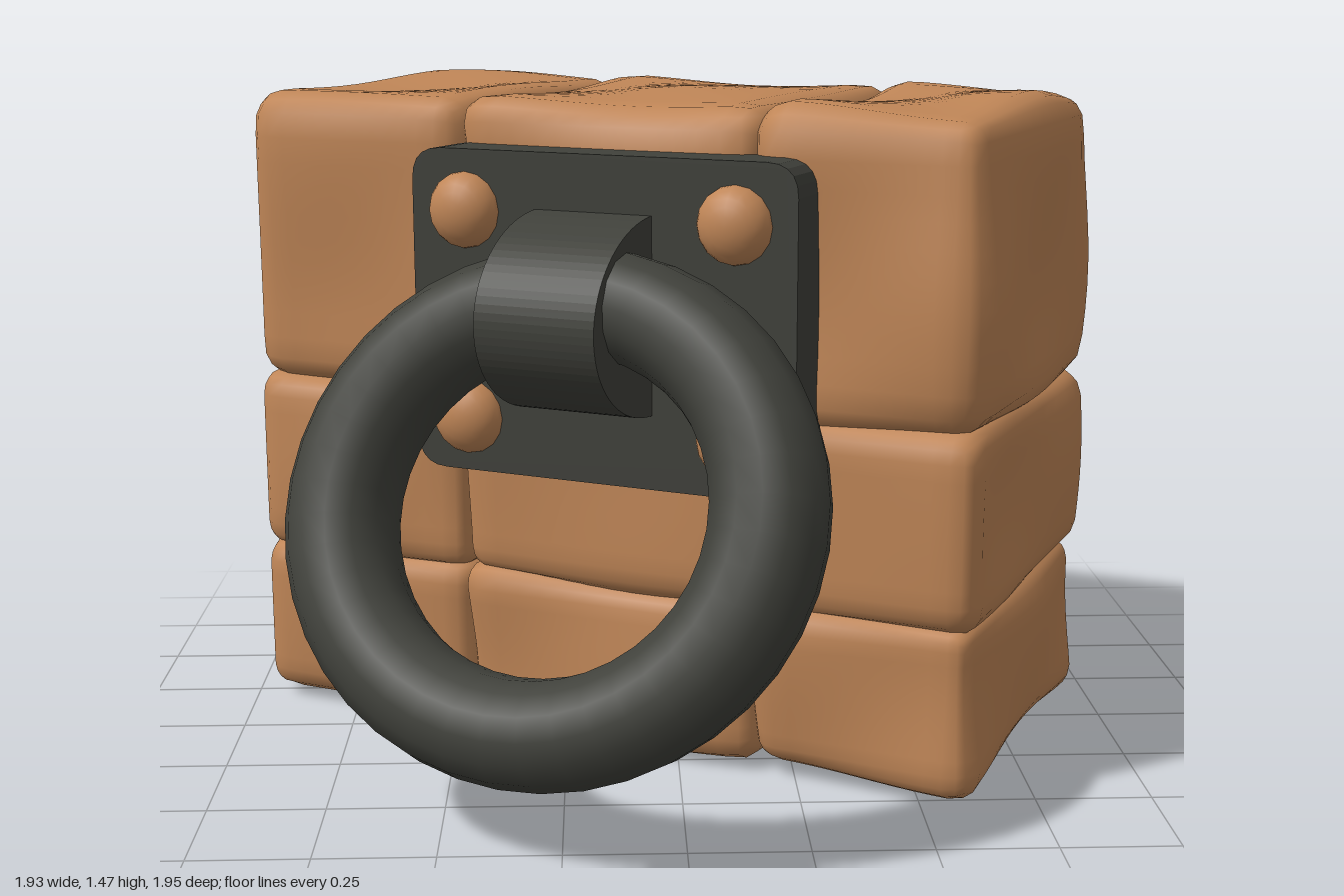
import * as THREE from 'three';
import { mergeVertices } from 'three/addons/utils/BufferGeometryUtils.js';

const stone = new THREE.MeshStandardMaterial({ color: 0xc08657 });
stone.name = 'sandstone';
const iron = new THREE.MeshStandardMaterial({ color: 0x40413b });
iron.name = 'dark iron';

// Box with soft edges and shallow, wavy wear
function wornBlock(w, h, d, r, seed) {
  let geo = new THREE.BoxGeometry(w, h, d, 14, 12, 14);
  geo.deleteAttribute('normal');
  geo.deleteAttribute('uv');
  geo = mergeVertices(geo, 1e-4);
  const pos = geo.attributes.position;
  const half = new THREE.Vector3(w / 2 - r, h / 2 - r, d / 2 - r);
  const p = new THREE.Vector3(), core = new THREE.Vector3(), out = new THREE.Vector3();
  for (let i = 0; i < pos.count; i++) {
    p.fromBufferAttribute(pos, i);
    core.copy(p).clamp(half.clone().negate(), half);
    out.copy(p).sub(core).normalize();
    const wave = Math.sin(p.x * 7 + seed * 2.1) * Math.sin(p.y * 8 + seed * 1.3) * Math.sin(p.z * 7 + seed * 3.7);
    p.copy(core).addScaledVector(out, r - 0.012 + 0.018 * wave);
    pos.setXYZ(i, p.x, p.y, p.z);
  }
  geo.computeVertexNormals();
  return geo;
}

function roundedRect(w, h, r) {
  const s = new THREE.Shape(), x = w / 2, y = h / 2;
  s.moveTo(-x + r, -y);
  s.lineTo(x - r, -y).quadraticCurveTo(x, -y, x, -y + r);
  s.lineTo(x, y - r).quadraticCurveTo(x, y, x - r, y);
  s.lineTo(-x + r, y).quadraticCurveTo(-x, y, -x, y - r);
  s.lineTo(-x, -y + r).quadraticCurveTo(-x, -y, -x + r, -y);
  return s;
}

// Half-ellipse outline traced from bottom to top
function archPath(Type, depth, halfHeight) {
  const path = new Type();
  path.moveTo(0, -halfHeight);
  path.absellipse(0, 0, depth, halfHeight, -Math.PI / 2, Math.PI / 2, false);
  path.closePath();
  return path;
}

export function createModel() {
  const model = new THREE.Group();
  model.name = 'wallRing';
  const body = new THREE.Group();
  body.name = 'turnedBody';
  body.position.z = -0.21;
  body.rotation.y = -0.462;
  model.add(body);

  const add = (name, geo, mat, x, y, z) => {
    const mesh = new THREE.Mesh(geo, mat);
    mesh.name = name;
    mesh.position.set(x, y, z);
    body.add(mesh);
    return mesh;
  };

  // Three rows of three worn blocks, slightly overlapping at the seams
  const rows = [-0.01, 0.37, 0.78, 1.45];
  const columns = [-0.895, -0.32, 0.39, 0.895];
  const lap = 0.025;
  for (let r = 0; r < 3; r++) {
    for (let c = 0; c < 3; c++) {
      const x0 = columns[c] - (c > 0 ? lap : 0), x1 = columns[c + 1] + (c < 2 ? lap : 0);
      const y0 = rows[r] - (r > 0 ? lap : 0), y1 = rows[r + 1] + (r < 2 ? lap : 0);
      const geo = wornBlock(x1 - x0, y1 - y0, 0.89, r === 2 ? 0.09 : 0.075, r * 3 + c + 1);
      add('stoneBlock', geo, stone, (x0 + x1) / 2, (y0 + y1) / 2, 0);
    }
  }

  // Wall plate
  const plate = new THREE.ExtrudeGeometry(roundedRect(0.89, 0.7, 0.07), {
    depth: 0.14, bevelEnabled: false, curveSegments: 5,
  });
  add('wallPlate', plate, iron, 0.082, 0.99, 0.405);

  // Four domed rivets
  for (const x of [-0.235, 0.39]) {
    for (const y of [0.76, 1.21]) {
      const dome = new THREE.SphereGeometry(0.083, 16, 6, 0, Math.PI * 2, 0, Math.PI / 2);
      dome.rotateX(Math.PI / 2).scale(1, 1, 0.75);
      add('rivet', dome, stone, x, y, 0.54);
    }
  }

  // Curved strap holding the ring
  const arch = archPath(THREE.Shape, 0.285, 0.21);
  arch.holes.push(archPath(THREE.Path, 0.24, 0.165));
  const strap = new THREE.ExtrudeGeometry(arch, { depth: 0.27, bevelEnabled: false, curveSegments: 20 });
  strap.translate(0, 0, -0.135).rotateY(-Math.PI / 2);
  add('ringStrap', strap, iron, 0.07, 1.01, 0.53);

  // Hanging ring, swung out at the bottom
  const torus = new THREE.TorusGeometry(0.475, 0.12, 14, 40);
  torus.scale(1, 0.93, 1);
  const ring = add('pullRing', torus, iron, 0.11, 0.65, 0.835);
  ring.rotation.x = -0.42;

  return model;
}
